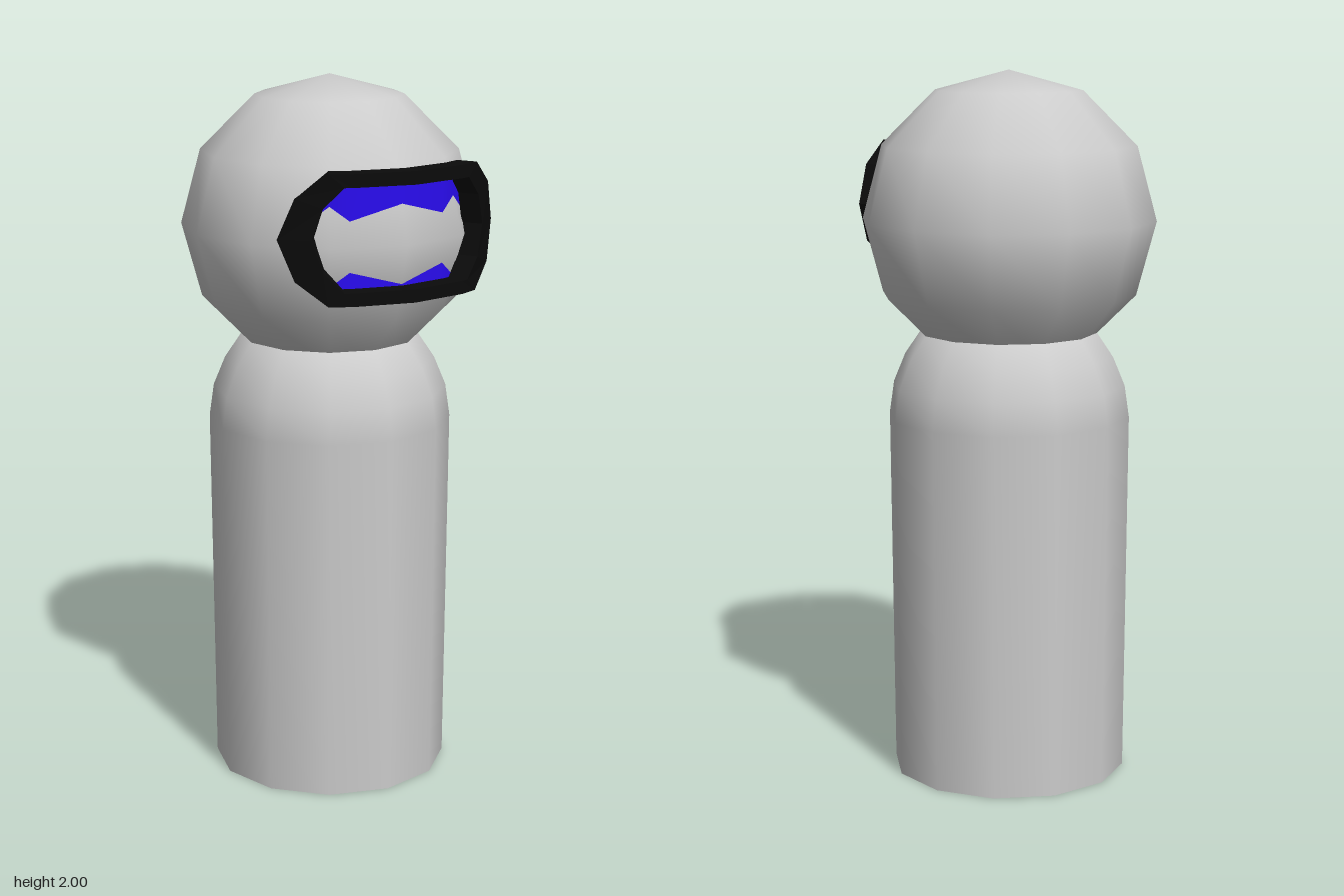
import * as THREE from 'three';

const SIDES = 12;
const CENTER_Z = -0.02;
const VISOR_Y = 1.614;

// Point on an upright cylinder around the head axis; angle 0 faces the front
function bend(degrees, y, radius) {
  const a = THREE.MathUtils.degToRad(degrees);
  return [radius * Math.sin(a), y, radius * Math.cos(a)];
}

function makeGeometry(positions, index) {
  const g = new THREE.BufferGeometry();
  g.setAttribute('position', new THREE.Float32BufferAttribute(positions, 3));
  g.setIndex(index);
  g.computeVertexNormals();
  return g;
}

// Mirrors a quarter outline [angle, height] (top centre to side) into a closed clockwise loop
function fullLoop(quarter) {
  const lower = quarter.slice(0, -1).reverse().map(([a, h]) => [a, -h]);
  const right = [...quarter, ...lower];
  const left = right.slice(1, -1).reverse().map(([a, h]) => [-a, h]);
  return [...right, ...left];
}

// Rectangular section swept around the visor outline
function frameGeometry(outer, inner, frontR, backR) {
  const positions = [], index = [];
  const n = outer.length;
  for (let i = 0; i < n; i++) {
    positions.push(
      ...bend(...outer[i], frontR), ...bend(...inner[i], frontR),
      ...bend(...inner[i], backR), ...bend(...outer[i], backR));
    const a = i * 4, b = ((i + 1) % n) * 4;
    for (let k = 0; k < 4; k++) {
      const m = (k + 1) % 4;
      index.push(a + k, a + m, b + m, a + k, b + m, b + k);
    }
  }
  return makeGeometry(positions, index);
}

// Curved pane made of vertical strips
function lensGeometry(quarter, radius) {
  const left = quarter.slice(1).reverse().map(([a, h]) => [-a, h]);
  const positions = [], index = [];
  [...left, ...quarter].forEach(([a, h], i) => {
    positions.push(...bend(a, -h, radius), ...bend(a, h, radius));
    if (i > 0) {
      const p = i * 2 - 2;
      index.push(p, p + 2, p + 3, p, p + 3, p + 1);
    }
  });
  return makeGeometry(positions, index);
}

export function createModel() {
  const model = new THREE.Group();
  const grey = new THREE.MeshStandardMaterial({ color: 0xcccccc });
  const black = new THREE.MeshStandardMaterial({ color: 0x0b0b0b, flatShading: true });
  const purple = new THREE.MeshStandardMaterial({ color: 0x2a0cf0, side: THREE.DoubleSide });

  const add = (name, geometry, material, y = 0) => {
    const mesh = new THREE.Mesh(geometry, material);
    mesh.name = name;
    mesh.position.set(0, y, CENTER_Z);
    model.add(mesh);
    return mesh;
  };

  // Head
  add('head', new THREE.SphereGeometry(0.415, SIDES, 6), grey, 1.585);

  // Body with rounded shoulders
  const profile = [
    [0.334, 0], [0.343, 1.03], [0.33, 1.12], [0.297, 1.2],
    [0.25, 1.27], [0.16, 1.33], [0, 1.36],
  ].map(([r, y]) => new THREE.Vector2(r, y));
  add('body', new THREE.LatheGeometry(profile, SIDES), grey);
  add('bodyBase', new THREE.CircleGeometry(0.334, SIDES), grey).rotation.x = Math.PI / 2;

  // Visor frame and lens, bent around the head
  const outer = fullLoop([[0, 0.175], [22, 0.175], [30.3, 0.175], [41.5, 0.11], [47.6, 0]]);
  const inner = fullLoop([[0, 0.139], [22, 0.139], [25, 0.139], [32, 0.085], [35.8, 0]]);
  add('visorFrame', frameGeometry(outer, inner, 0.455, 0.395), black, VISOR_Y);

  const lens = [[0, 0.145], [22, 0.145], [30, 0.145], [38, 0.09], [41, 0]];
  add('visorLens', lensGeometry(lens, 0.386), purple, VISOR_Y);

  return model;
}
